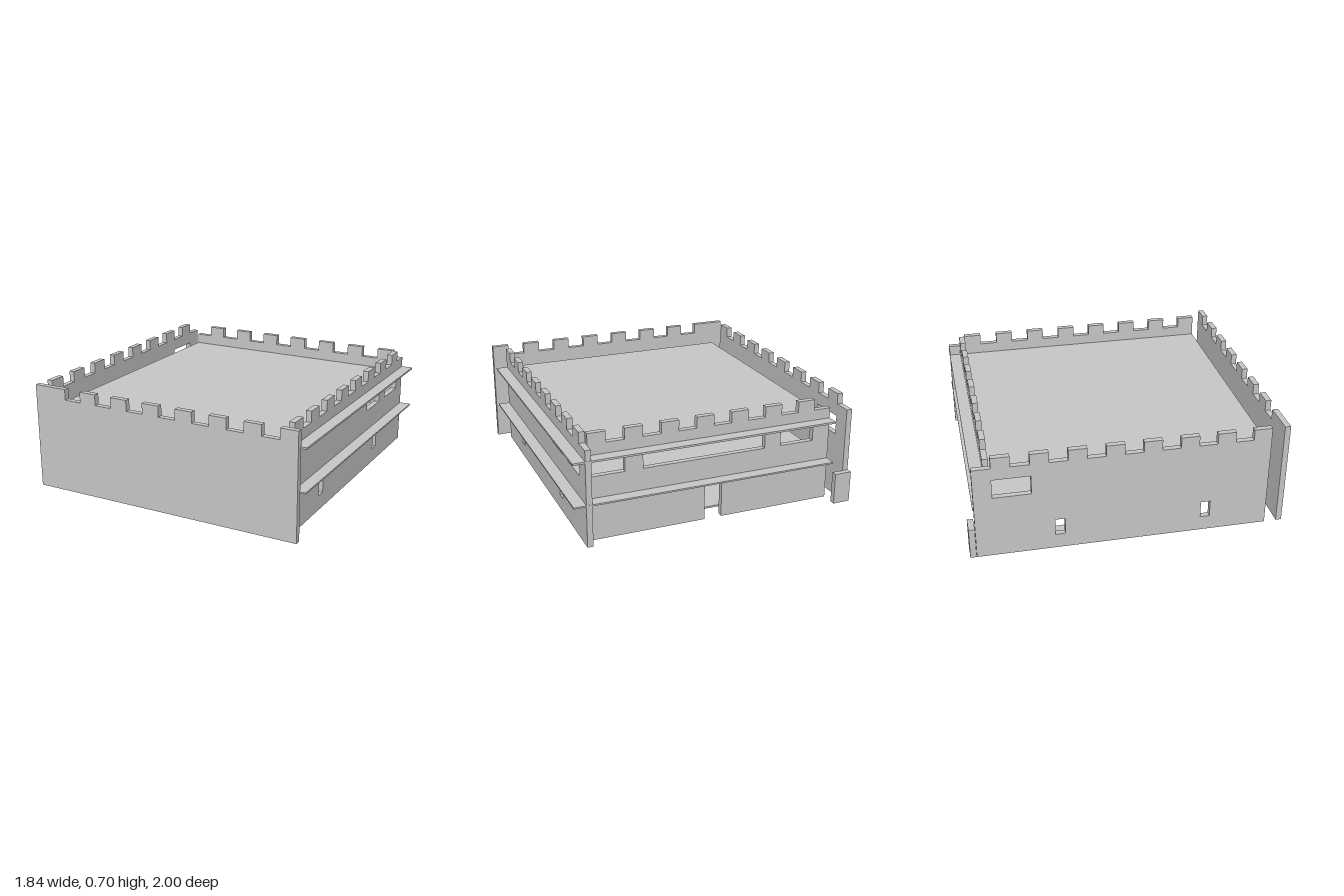
import * as THREE from 'three';

const BASE = 0.015, PARAPET = 0.635, TOP = 0.705, T = 0.037;

// evenly spaced battlement blocks as [start, end] pairs
const merlons = (start, count, step = 0.2305, width = 0.115) =>
  Array.from({ length: count }, (_, k) => [start + k * step, start + k * step + width]);

// upright wall panel: battlements on top, optional door notch, rectangular holes
function wallGeometry(u0, u1, teeth, holes = [], door = null) {
  const s = new THREE.Shape();
  s.moveTo(u0, BASE);
  if (door) {
    s.lineTo(door[0], BASE);
    s.lineTo(door[0], door[2]);
    s.lineTo(door[1], door[2]);
    s.lineTo(door[1], BASE);
  }
  s.lineTo(u1, BASE);
  let at = u1;
  [...teeth].reverse().forEach(([a, b]) => {
    if (b < at - 1e-4) s.lineTo(at, PARAPET);
    if (b < at - 1e-4) s.lineTo(b, PARAPET);
    s.lineTo(b, TOP);
    s.lineTo(a, TOP);
    at = a;
  });
  if (at > u0 + 1e-4) {
    s.lineTo(at, PARAPET);
    s.lineTo(u0, PARAPET);
  }
  for (const [a, b, y0, y1] of holes) {
    const h = new THREE.Path();
    h.moveTo(a, y0);
    h.lineTo(a, y1);
    h.lineTo(b, y1);
    h.lineTo(b, y0);
    s.holes.push(h);
  }
  return new THREE.ExtrudeGeometry(s, { depth: T, bevelEnabled: false });
}

export function createModel() {
  const model = new THREE.Group();
  model.name = 'castleHouse';
  const card = new THREE.MeshStandardMaterial({ color: 0xc8c8c8 });
  card.name = 'plain grey';

  const add = (name, geometry) => {
    const m = new THREE.Mesh(geometry, card);
    m.name = name;
    model.add(m);
    return m;
  };
  const box = (name, x0, x1, y0, y1, z0, z1) =>
    add(name, new THREE.BoxGeometry(x1 - x0, y1 - y0, z1 - z0))
      .position.set((x0 + x1) / 2, (y0 + y1) / 2, (z0 + z1) / 2);

  // front wall
  const frontTeeth = [[-0.92, -0.692], ...merlons(-0.577, 6), [0.806, 0.92]];
  add('frontWall', wallGeometry(-0.92, 0.92, frontTeeth)).position.z = 1 - T;

  // back wall with open doorway and upper windows
  const backHoles = [[0.575, 0.785, 0.43, 0.555], [-0.35, 0.46, 0.43, 0.555], [-0.69, -0.46, 0.43, 0.555]];
  add('backWall', wallGeometry(-0.807, 0.805, merlons(-0.692, 7, 0.2305, 0.114), backHoles, [-0.06, 0.055, 0.28]))
    .position.z = -0.885;

  // side walls
  const slots = [[0.452, 0.512, 0.112, 0.222], [-0.472, -0.41, 0.112, 0.222]];
  const rearWindow = [-0.845, -0.61, 0.43, 0.555];
  const sideTeeth = merlons(-0.845, 8, 0.2305, 0.115).map(([a, b]) => [a, Math.min(b, 0.883)]);
  const sideWall = (name, outerX, holes) =>
    add(name, wallGeometry(-0.96, 0.884, sideTeeth, holes).rotateY(-Math.PI / 2)).position.x = outerX;
  sideWall('leftWall', 0.843, [...slots, rearWindow, [-0.5, -0.27, 0.43, 0.555]]);
  sideWall('rightWall', -0.92 + T, [...slots, rearWindow]);

  // floors overhanging as balconies
  box('roofDeck', -0.807, 0.92, 0.555, 0.567, -0.962, 0.884);
  box('middleFloor', -0.807, 0.92, 0.28, 0.29, -0.962, 0.884);

  // low corner stub and door sills
  box('cornerStub', -0.92, -0.807, BASE, 0.22, -1, -0.962);
  box('frontSill', 0.355, 0.445, BASE, 0.027, 0.895, 0.963);
  box('sideSill', -0.884, -0.82, BASE, 0.027, -0.49, -0.4);

  // ground floor partitions
  box('roomDivider', -0.115, -0.078, BASE, 0.28, 0.115, 0.884);
  box('hallWall', -0.5, 0.58, BASE, 0.28, 0.08, 0.115);
  box('hallWallEnd', -0.807, -0.58, BASE, 0.28, 0.08, 0.115);
  box('passageWall', -0.507, -0.47, BASE, 0.28, -0.3, 0.08);

  // upper floor partition
  box('upperPartition', -0.807, 0.46, 0.29, 0.555, -0.305, -0.27);

  // loose floor plates beneath
  [
    [-0.575, -0.3, 0.34, 0.65],
    [0.46, 0.69, 0.2, 0.77],
    [0.23, 0.34, 0.34, 0.65],
    [-0.807, -0.692, -0.61, -0.2],
    [-0.35, 0.23, -0.38, -0.04],
    [-0.35, 0.34, -0.73, -0.38],
  ].forEach(([x0, x1, z0, z1]) => box('floorPlate', x0, x1, 0, 0.012, z0, z1));

  return model;
}
